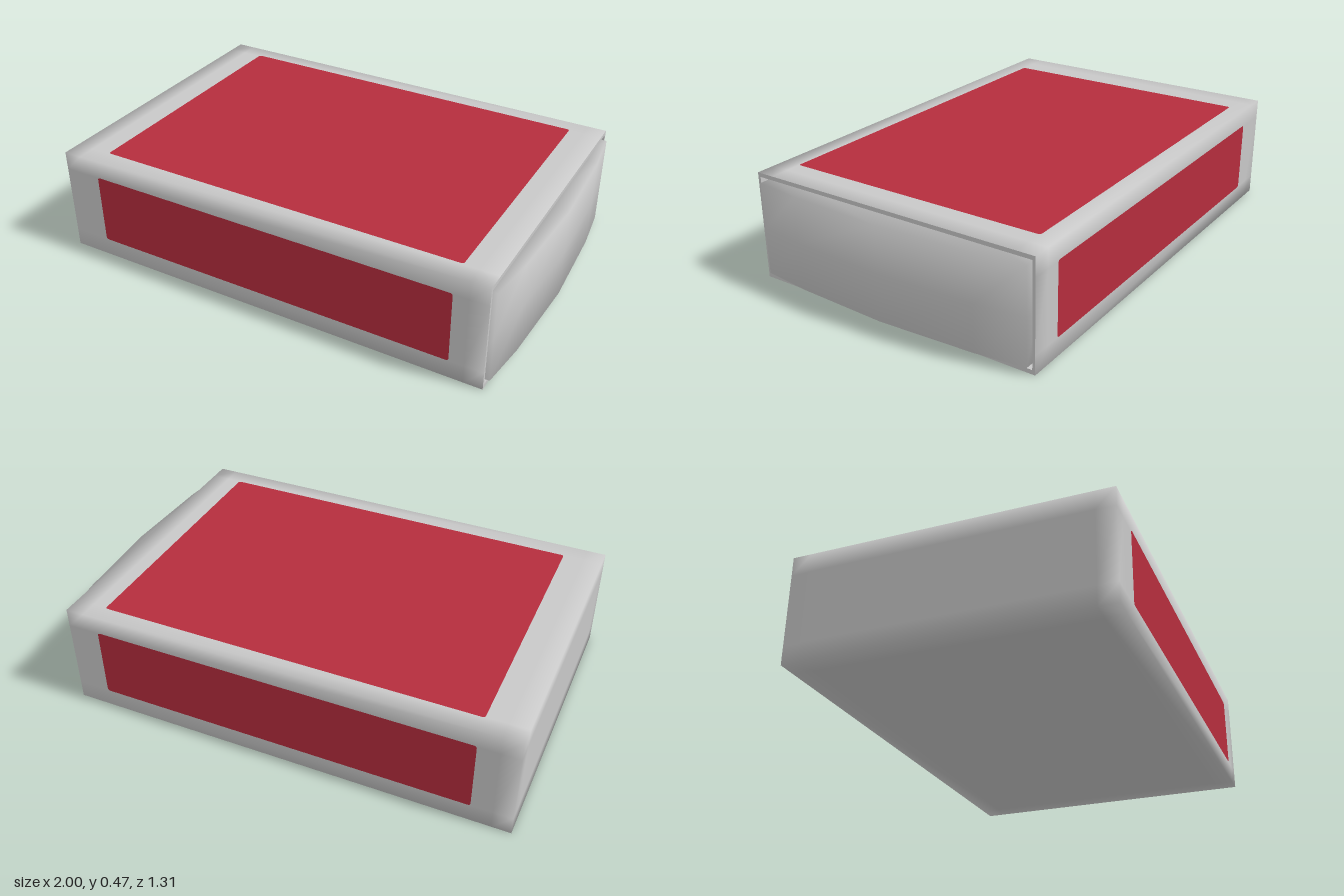
import * as THREE from 'three';
import { mergeVertices } from 'three/addons/utils/BufferGeometryUtils.js';

// Box whose grid lines sit at the given stops; normals blend across its edges
function softBox(xs, ys, zs) {
  const nx = xs.length - 1, ny = ys.length - 1, nz = zs.length - 1;
  let geo = new THREE.BoxGeometry(1, 1, 1, nx, ny, nz);
  const p = geo.attributes.position;
  const pick = (stops, v) => stops[Math.round((v + 0.5) * (stops.length - 1))];
  for (let i = 0; i < p.count; i++) {
    p.setXYZ(i, pick(xs, p.getX(i)), pick(ys, p.getY(i)), pick(zs, p.getZ(i)));
  }
  geo.deleteAttribute('normal');
  geo.deleteAttribute('uv');
  geo = mergeVertices(geo);
  geo.computeVertexNormals();
  return geo;
}

// Drop the +x face, which is the first group of a box
function openEnd(geo) {
  const first = geo.groups[0];
  geo.setIndex(Array.from(geo.index.array).slice(first.count));
  geo.clearGroups();
  return geo;
}

function rectangle(target, w0, w1, h0, h1) {
  target.moveTo(w0, h0);
  target.lineTo(w1, h0);
  target.lineTo(w1, h1);
  target.lineTo(w0, h1);
  target.closePath();
  return target;
}

// Flat label with slightly rounded corners, facing +z
function labelGeometry(w, h) {
  const r = 0.012, x = w / 2, y = h / 2;
  const s = new THREE.Shape();
  s.moveTo(-x + r, -y);
  s.lineTo(x - r, -y);
  s.quadraticCurveTo(x, -y, x, -y + r);
  s.lineTo(x, y - r);
  s.quadraticCurveTo(x, y, x - r, y);
  s.lineTo(-x + r, y);
  s.quadraticCurveTo(-x, y, -x, y - r);
  s.lineTo(-x, -y + r);
  s.quadraticCurveTo(-x, -y, -x + r, -y);
  return new THREE.ShapeGeometry(s, 4);
}

export function createModel() {
  const group = new THREE.Group();
  const card = new THREE.MeshStandardMaterial({ color: 0xc8c8c8, side: THREE.DoubleSide });
  card.name = 'grey card';
  const red = new THREE.MeshStandardMaterial({ color: 0xb52d3d });
  red.name = 'red label';

  const add = (name, geo, mat) => {
    const mesh = new THREE.Mesh(geo, mat);
    mesh.name = name;
    group.add(mesh);
    return mesh;
  };

  const W = 0.655, H = 0.465, X = 0.94, b = 0.08;

  // Outer sleeve, open at the +x end
  add('sleeve', openEnd(softBox(
    [-1, -1 + b, X - b, X], [0, b, H - b, H], [-W, -W + b, W - b, W])), card);

  // Rim of the open end and the shallow recess behind it
  const rim = rectangle(new THREE.Shape(), -W, W, 0, H);
  rim.holes.push(rectangle(new THREE.Path(), -0.643, 0.643, 0.018, 0.448));
  const rimMesh = add('sleeveRim', new THREE.ShapeGeometry(rim), card);
  rimMesh.rotation.y = Math.PI / 2;
  rimMesh.position.x = X;
  const recess = openEnd(new THREE.BoxGeometry(0.06, 0.43, 1.286));
  recess.translate(X - 0.03, 0.233, 0);
  add('sleeveInside', recess, card);

  // Inner tray with a bowed end
  const tray = softBox([0.885, 0.955], [0.03, 0.23, 0.43], [-0.63, -0.42, 0, 0.42, 0.63]);
  const p = tray.attributes.position;
  for (let i = 0; i < p.count; i++) {
    if (p.getX(i) > 0.9) p.setX(i, 0.955 + 0.045 * (1 - (p.getZ(i) / 0.63) ** 2));
  }
  tray.computeVertexNormals();
  add('tray', tray, card);

  // Labels on the top and both long sides
  const top = add('topLabel', labelGeometry(1.63, 1.155), red);
  top.rotation.x = -Math.PI / 2;
  top.position.set(-0.017, H + 0.002, -0.005);
  for (const s of [1, -1]) {
    const side = add(s > 0 ? 'frontLabel' : 'backLabel', labelGeometry(1.63, 0.31), red);
    side.rotation.y = s > 0 ? 0 : Math.PI;
    side.position.set(-0.017, 0.235, s * (W + 0.002));
  }
  return group;
}
